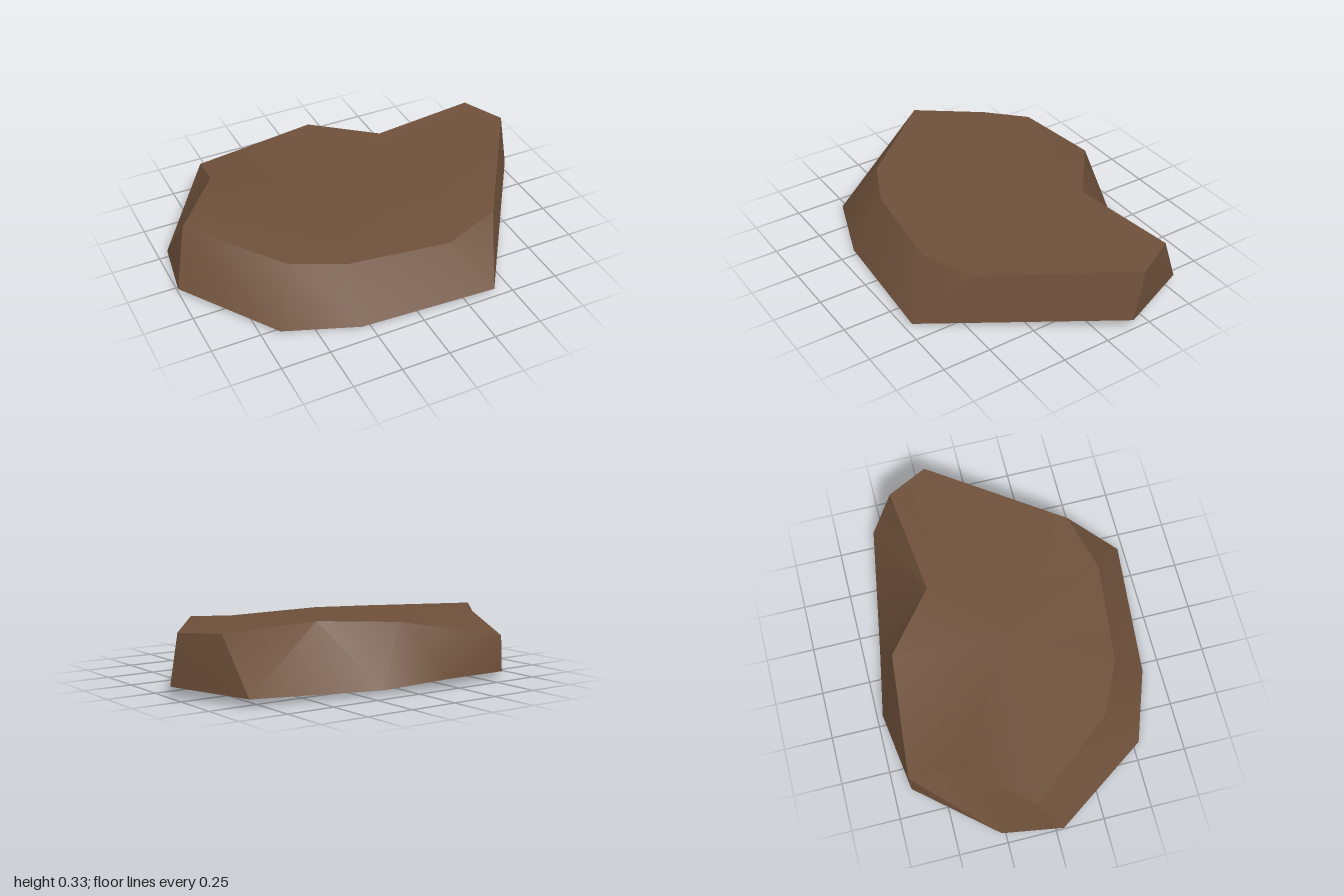
import * as THREE from 'three';
import { toCreasedNormals } from 'three/addons/utils/BufferGeometryUtils.js';

// Ground rim and top rim, both running from the right end along the front
const base = [
  [-1, 0.025, 0.04], [-0.66, 0.012, 0.53], [-0.29, 0.0, 0.66], [0.41, 0.02, 0.72], [1, 0.055, -0.15],
  [0.82, 0.04, -0.55], [0.145, 0.02, -0.66], [-0.21, 0.045, -0.72], [-0.62, 0.03, -0.66], [-0.95, 0.022, -0.27],
];
const top = [
  [-0.91, 0.3, -0.08], [-0.54, 0.265, 0.37], [-0.28, 0.262, 0.49], [0.24, 0.25, 0.55], [0.54, 0.28, 0.46],
  [0.99, 0.315, -0.21], [0.88, 0.325, -0.42], [0.31, 0.328, -0.35], [0, 0.327, -0.6], [-0.61, 0.215, -0.66],
  [-0.65, 0.317, -0.38],
];
const centre = [0, 0.3, 0];

// Order in which the side wall advances along the base (B) or top (T) rim
const wallSteps = 'BTBTBTTBTBTTBTBTBBTTB';

function creased(triangles) {
  const g = new THREE.BufferGeometry();
  g.setAttribute('position', new THREE.Float32BufferAttribute(triangles.flat(), 3));
  return toCreasedNormals(g, THREE.MathUtils.degToRad(38));
}

export function createModel() {
  const stone = new THREE.MeshStandardMaterial({ color: 0x6e503a, side: THREE.DoubleSide });
  stone.name = 'brown stone';
  const points = [];

  // Sloping side walls, open underneath
  let b = 0, t = 0;
  for (const step of wallSteps) {
    const pb = base[b % base.length], pt = top[t % top.length];
    if (step === 'B') points.push(pb, base[++b % base.length], pt);
    else points.push(pb, top[++t % top.length], pt);
  }

  // Gently tilted top
  top.forEach((p, i) => points.push(centre, p, top[(i + 1) % top.length]));

  const slab = new THREE.Mesh(creased(points), stone);
  slab.name = 'rockSlab';
  const group = new THREE.Group();
  group.name = 'flatRock';
  group.add(slab);
  return group;
}
